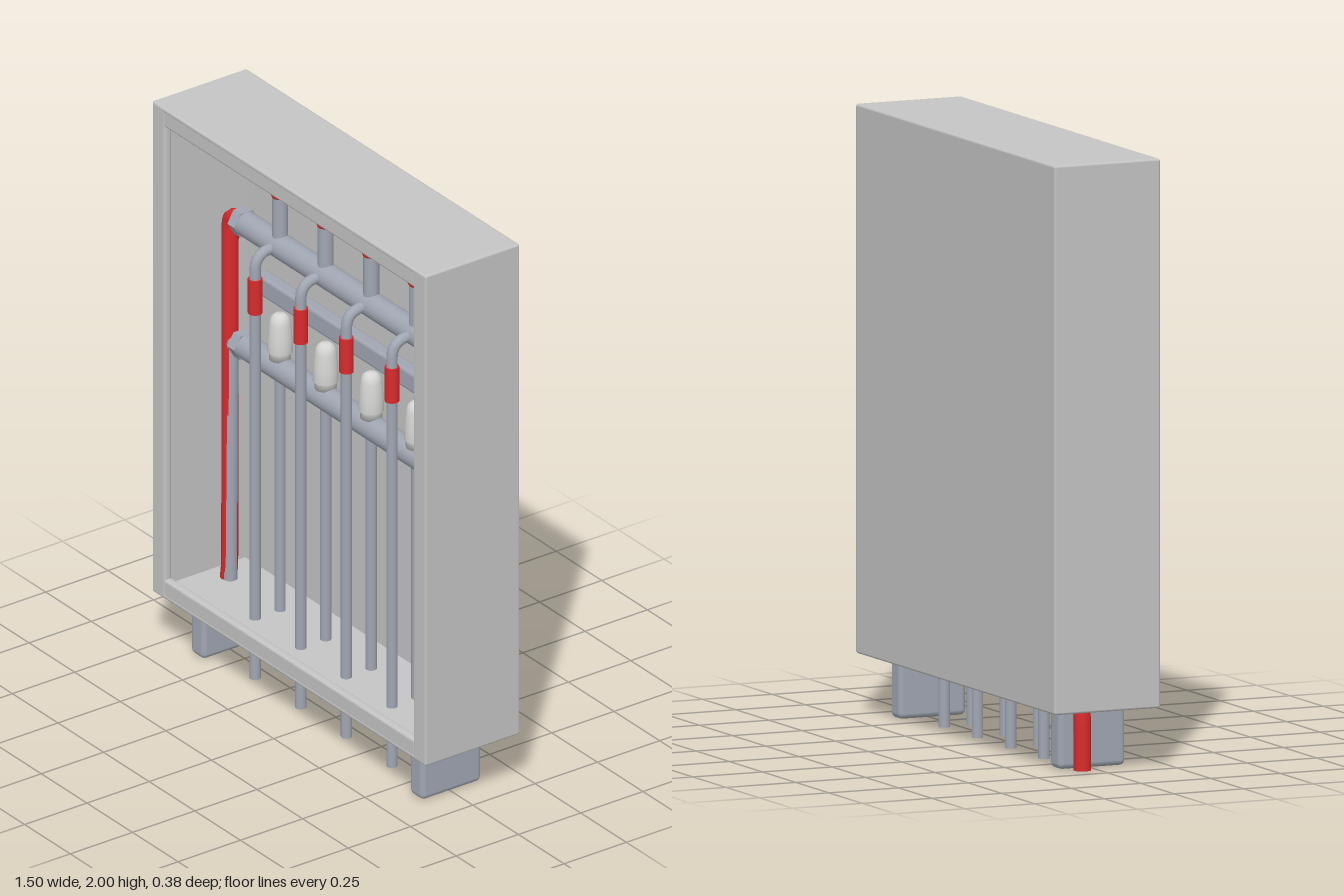
import * as THREE from 'three';
import { RoundedBoxGeometry } from 'three/addons/geometries/RoundedBoxGeometry.js';

const material = (name, color) => {
  const m = new THREE.MeshStandardMaterial({ color });
  m.name = name;
  return m;
};

export function createModel() {
  const model = new THREE.Group();
  model.name = 'heatingManifoldCabinet';
  const paint = material('cabinet grey', 0xc4c4c4);
  const steel = material('pipe steel', 0xa0a6b2);
  const red = material('signal red', 0xd92b2b);
  const white = material('valve white', 0xd6d6d4);

  const add = (parent, name, geometry, mat, x = 0, y = 0, z = 0) => {
    const mesh = new THREE.Mesh(geometry, mat);
    mesh.name = name;
    mesh.position.set(x, y, z);
    parent.add(mesh);
    return mesh;
  };
  const group = (name) => {
    const g = new THREE.Group();
    g.name = name;
    model.add(g);
    return g;
  };
  const box = (w, h, d, r = 0.008) => new RoundedBoxGeometry(w, h, d, 2, r);
  const lathe = (pts) => new THREE.LatheGeometry(pts.map(([r, y]) => new THREE.Vector2(r, y)), 20);
  const rod = (r, h, sides = 18) => new THREE.CylinderGeometry(r, r, h, sides);

  // Pipe through straight runs, with a quarter bend at each inner point
  const pipe = (points, radius, bend) => {
    const p = points.map((a) => new THREE.Vector3(...a));
    const path = new THREE.CurvePath();
    let from = p[0];
    for (let i = 1; i < p.length - 1; i++) {
      const a = p[i].clone().add(p[i - 1].clone().sub(p[i]).setLength(bend));
      const b = p[i].clone().add(p[i + 1].clone().sub(p[i]).setLength(bend));
      if (from.distanceTo(a) > 1e-4) path.add(new THREE.LineCurve3(from, a));
      path.add(new THREE.QuadraticBezierCurve3(a, p[i], b));
      from = b;
    }
    path.add(new THREE.LineCurve3(from, p[p.length - 1]));
    return new THREE.TubeGeometry(path, 96, radius, 16);
  };

  // Cabinet shell, open at the front with a folded lip
  const cabinet = group('cabinet');
  const t = 0.018;
  add(cabinet, 'backPanel', box(1.5, 1.8, t), paint, 0, 1.1, -0.19 + t / 2);
  add(cabinet, 'topPanel', box(1.5, t, 0.38), paint, 0, 2 - t / 2, 0);
  add(cabinet, 'bottomPanel', box(1.5, t, 0.38), paint, 0, 0.2 + t / 2, 0);
  add(cabinet, 'topLip', box(1.38, 0.07, 0.03, 0.01), paint, 0, 1.965, 0.174);
  add(cabinet, 'bottomLip', box(1.38, 0.07, 0.03, 0.01), paint, 0, 0.235, 0.174);
  for (const s of [-1, 1]) {
    add(cabinet, 'sidePanel', box(t, 1.8, 0.38), paint, s * (0.75 - t / 2), 1.1, 0);
    add(cabinet, 'sideLip', box(0.07, 1.8, 0.03, 0.01), paint, s * 0.715, 1.1, 0.175);
    add(model, 'foot', box(0.074, 0.2, 0.24, 0.018), steel, s * 0.6, 0.102, 0);
  }

  // Mounting rail and the two manifold bars
  const zBar = -0.05;
  add(model, 'mountingRail', box(1.24, 0.074, 0.05, 0.012), steel, 0, 1.29, -0.15);
  for (const y of [1.555, 1.105]) {
    const manifold = group(y > 1.3 ? 'supplyManifold' : 'returnManifold');
    add(manifold, 'bar', rod(0.043, 1.16, 24), steel, 0, y, zBar).rotation.z = Math.PI / 2;
    for (const s of [-1, 1]) {
      const nut = new THREE.CylinderGeometry(0.05, 0.05, 0.038, 6).toNonIndexed();
      nut.computeVertexNormals();
      add(manifold, 'endNut', nut, steel, s * 0.577, y, zBar).rotation.z = Math.PI / 2;
    }
  }

  // Main feed pipes with elbows into the manifolds
  add(model, 'supplyPipe', pipe([[-0.58, 1.555, zBar], [-0.648, 1.555, zBar], [-0.651, 0.26, zBar],
    [-0.664, 0.18, zBar], [-0.664, 0, zBar]], 0.028, 0.038), red);
  add(model, 'returnPipe', pipe([[-0.58, 1.095, zBar], [-0.643, 1.095, zBar], [-0.646, 0, zBar + 0.003]],
    0.024, 0.03), steel);
  const endCap = (x, r, mat) => {
    const disc = add(model, 'pipeEnd', new THREE.CircleGeometry(r, 16), mat, x, 0.001, zBar);
    disc.rotation.x = Math.PI / 2;
  };
  endCap(-0.664, 0.028, red);
  endCap(-0.646, 0.024, steel);

  // Four heating circuits
  for (let i = 0; i < 4; i++) {
    const x = -0.375 + i * 0.25;
    const circuit = group('circuit');
    circuit.position.x = x;

    // Flow meter with its red cap
    add(circuit, 'flowMeter', rod(0.026, 0.16), steel, 0, 1.665, zBar);
    add(circuit, 'flowMeterCap', lathe([[0, 1.735], [0.027, 1.735], [0.03, 1.742], [0.03, 1.775],
      [0.024, 1.79], [0, 1.792]]), red, 0, 0, zBar);

    // Front pipe bends forward out of the supply bar and runs down
    add(circuit, 'supplyBranch', pipe([[0, 1.555, zBar], [0, 1.555, 0.05], [0, 0, 0.05]], 0.0185, 0.06), steel);
    add(circuit, 'redSleeve', rod(0.024, 0.125), red, 0, 1.4025, 0.05);

    // Rear pipe under the return bar, valve head above it
    add(circuit, 'returnBranch', rod(0.0185, 1.1), steel, 0, 0.55, zBar);
    add(circuit, 'valveHead', lathe([[0, 1.14], [0.036, 1.14], [0.036, 1.165], [0.042, 1.168], [0.04, 1.215],
      [0.036, 1.27], [0.03, 1.293], [0.018, 1.303], [0, 1.305]]), white, 0, 0, zBar);

    const end = add(circuit, 'branchEnd', new THREE.CircleGeometry(0.0185, 16), steel, 0, 0.001, 0.05);
    end.rotation.x = Math.PI / 2;
  }

  return model;
}
